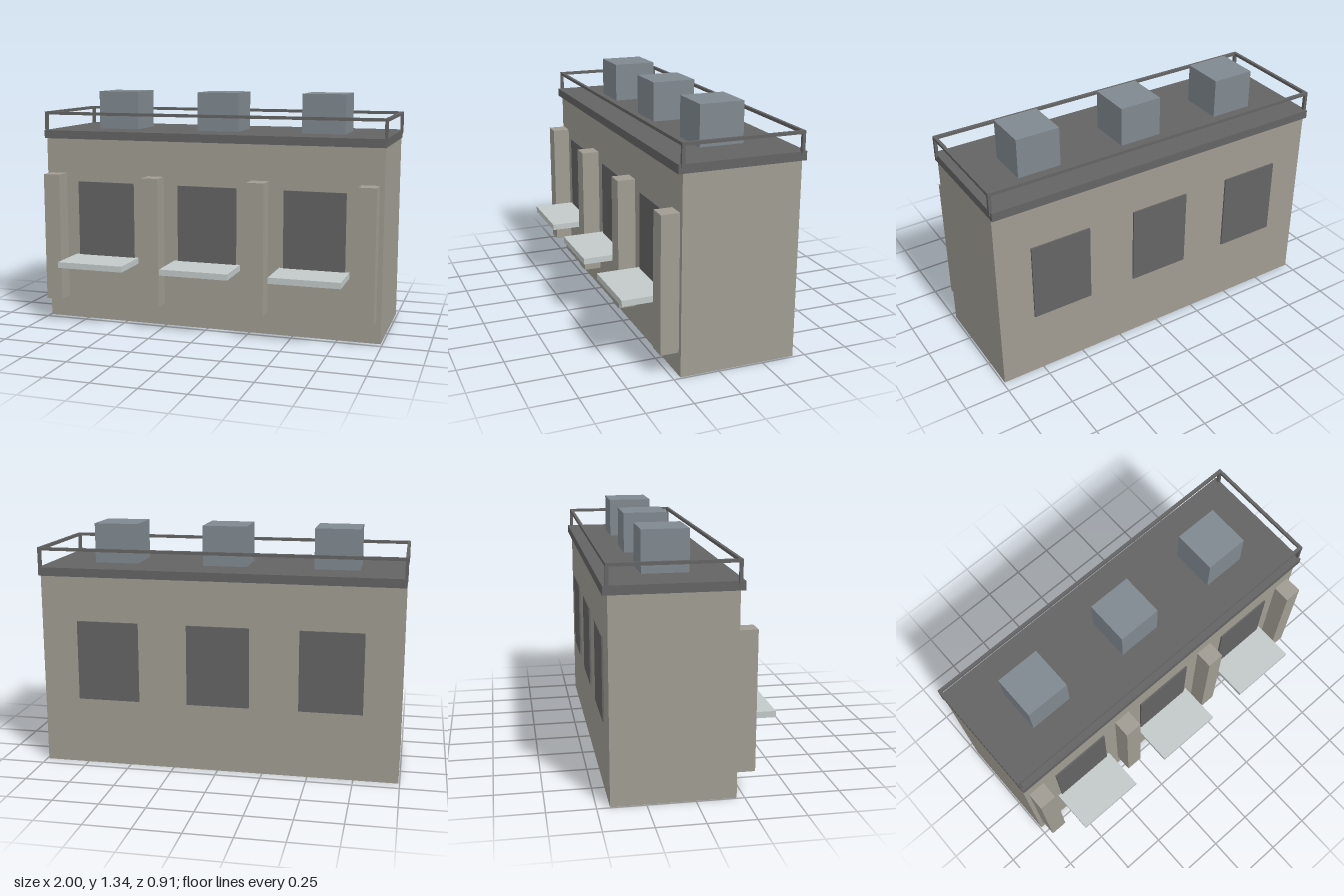
import * as THREE from 'three';

export function createModel() {
  const model = new THREE.Group();
  model.name = 'shopBuilding';

  const material = (name, color) => {
    const m = new THREE.MeshStandardMaterial({ color });
    m.name = name;
    return m;
  };
  const wall = material('warmGreyWall', 0xa09c92);
  const dark = material('darkGrey', 0x646464);
  const metal = material('blueGreyMetal', 0x808990);
  const pale = material('paleCounter', 0xc3cac9);

  // Box given by its minimum and maximum corners
  const box = (name, mat, [x0, y0, z0], [x1, y1, z1]) => {
    const mesh = new THREE.Mesh(new THREE.BoxGeometry(x1 - x0, y1 - y0, z1 - z0), mat);
    mesh.position.set((x0 + x1) / 2, (y0 + y1) / 2, (z0 + z1) / 2);
    mesh.name = name;
    model.add(mesh);
  };

  const front = 0.21, back = -0.433;

  // Main block and overhanging roof slab
  box('body', wall, [-0.993, 0, back], [0.99, 1.07, front]);
  box('roofSlab', dark, [-0.996, 1.07, -0.457], [0.994, 1.117, 0.235]);

  // Each bay: front and back window, counter and rooftop unit
  for (const x of [-0.62, -0.003, 0.615]) {
    box('frontWindow', dark, [x - 0.173, 0.375, front], [x + 0.173, 0.82, front + 0.009]);
    box('backWindow', dark, [x - 0.173, 0.375, back - 0.009], [x + 0.173, 0.82, back]);
    box('counter', pale, [x - 0.196, 0.352, front], [x + 0.196, 0.386, 0.457]);
    box('rooftopUnit', metal, [x - 0.123, 1.117, -0.235], [x + 0.123, 1.338, 0.011]);
  }

  // Pilasters between the bays
  for (const x of [-0.92, -0.311, 0.304, 0.915]) {
    box('pilaster', wall, [x - 0.049, 0.127, front], [x + 0.049, 0.867, 0.31]);
  }

  // Roof railing: corner posts and top bars
  const t = 0.017, z0 = -0.442, z1 = 0.219, top = 1.224;
  for (const x of [-1, 1 - t]) {
    for (const z of [z0, z1 - t]) {
      box('railPost', dark, [x, 1.1, z], [x + t, top - t, z + t]);
    }
    box('sideRail', dark, [x, top - t, z0], [x + t, top, z1]);
  }
  for (const z of [z0, z1 - t]) {
    box('longRail', dark, [t - 1, top - t, z], [1 - t, top, z + t]);
  }

  return model;
}
